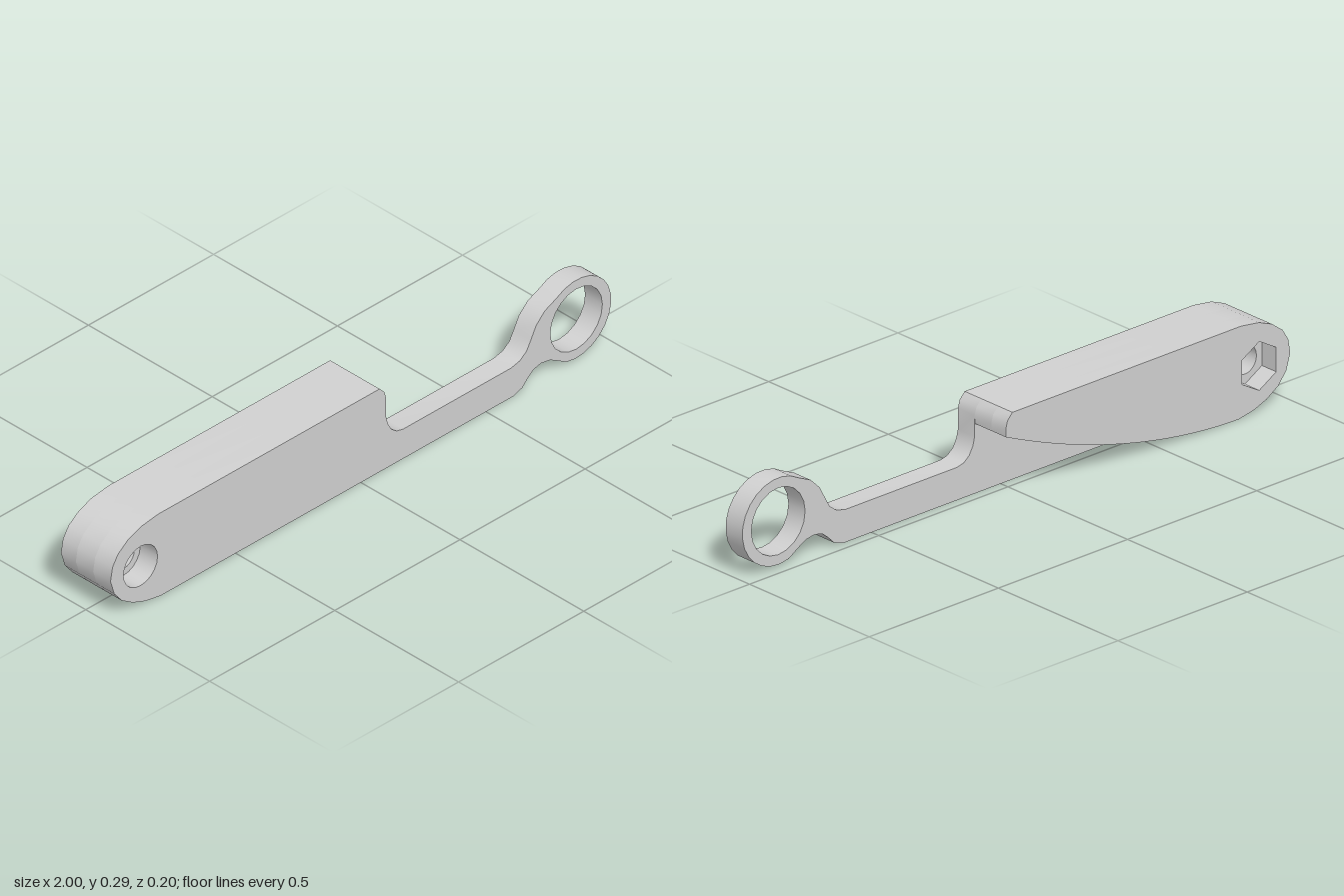
import * as THREE from 'three';
import { toCreasedNormals } from 'three/addons/utils/BufferGeometryUtils.js';

const PIVOT = [-0.88, 0.145];
const RING = [0.861, 0.147];

// Counter-clockwise path; sides = 6 makes the hex socket, more makes a round hole
function hole([cx, cy], radius, sides) {
  const pts = [];
  for (let i = 0; i < sides; i++) {
    const a = Math.PI / 2 + (i / sides) * Math.PI * 2;
    pts.push(new THREE.Vector2(cx + radius * Math.cos(a), cy + radius * Math.sin(a)));
  }
  return new THREE.Path(pts);
}

export function createModel() {
  const group = new THREE.Group();
  const grey = new THREE.MeshStandardMaterial({ color: 0xd0d0d0 });
  grey.name = 'plain grey';

  // Outlines run clockwise, holes counter-clockwise, so all walls face outward
  function slab(name, outline, holes, z0, z1) {
    const shape = new THREE.Shape(outline.map(([x, y]) => new THREE.Vector2(x, y)));
    shape.holes.push(...holes);
    const geo = new THREE.ExtrudeGeometry(shape, { depth: z1 - z0, bevelEnabled: false });
    geo.translate(0, 0, z0);
    const mesh = new THREE.Mesh(toCreasedNormals(geo, 0.55), grey);
    mesh.name = name;
    group.add(mesh);
  }

  // Rounded pivot end, from bottom round to top
  const pivotEnd = [
    [-0.8, 0.003], [-0.86, 0.014], [-0.91, 0.033], [-0.955, 0.062], [-0.985, 0.1], [-1, 0.15],
    [-0.992, 0.195], [-0.97, 0.23], [-0.93, 0.26], [-0.88, 0.28], [-0.81, 0.29],
  ];
  const nose = [[0.075, 0.29], [0.094, 0.27], [0.101, 0.245]];

  // Outer rim of the ring at the far end, clockwise from upper left
  const ringRim = [];
  for (let i = 0; i <= 16; i++) {
    const a = THREE.MathUtils.degToRad(125 - (i / 16) * 232);
    ringRim.push([RING[0] + 0.139 * Math.cos(a), RING[1] + 0.135 * Math.sin(a)]);
  }

  // Front plate: pivot end, step, thin arm and ring in one piece
  const plate = [
    ...pivotEnd, ...nose,
    [0.101, 0.18], [0.108, 0.152], [0.122, 0.128], [0.143, 0.111], [0.17, 0.105],
    [0.6, 0.105], [0.635, 0.113], [0.662, 0.133], [0.68, 0.165], [0.7, 0.203], [0.735, 0.237],
    ...ringRim,
    [0.785, 0.04], [0.755, 0.057], [0.72, 0.063], [0.69, 0.056], [0.668, 0.038],
    [0.645, 0.015], [0.61, 0.003],
  ];
  slab('frontPlate', plate, [hole(PIVOT, 0.068, 20), hole(RING, 0.104, 20)], 0.03, 0.1);

  // Thick lever body with an underside sweeping up to the nose
  const underside = [];
  for (let i = 0; i < 20; i++) {
    const t = 1 - i / 20;
    underside.push([-0.8 + 0.9 * t, 0.003 + 0.217 * t ** 1.85]);
  }
  const body = [...pivotEnd, ...nose, ...underside];
  slab('leverBody', body, [hole(PIVOT, 0.045, 20)], -0.04, 0.03);
  slab('hexSocketLayer', body, [hole(PIVOT, 0.076, 6)], -0.1, -0.04);

  return group;
}
